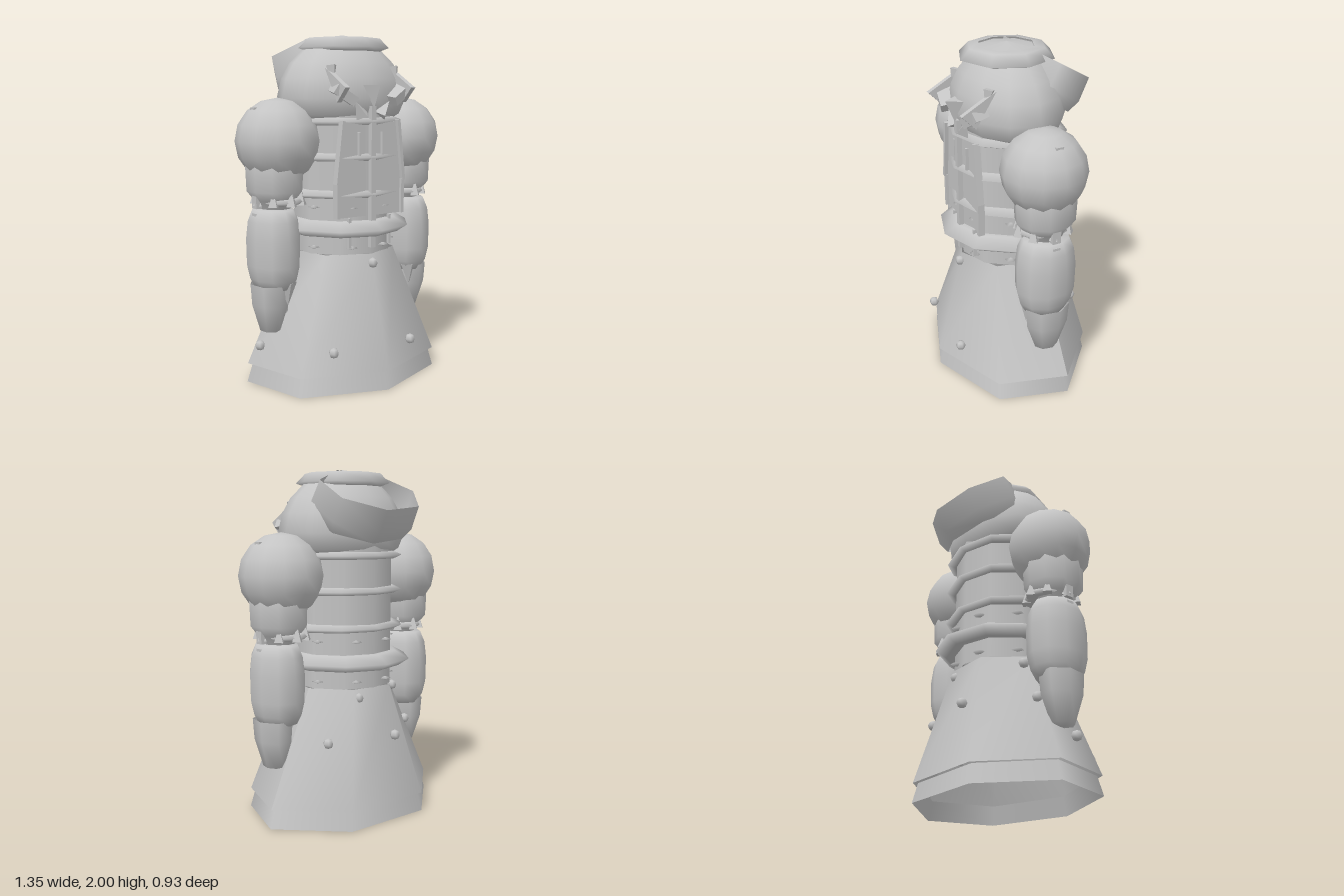
import * as THREE from 'three';

export function createModel() {
  const model = new THREE.Group();
  const grey = new THREE.MeshStandardMaterial({ color: 0xc4c4c4, side: THREE.DoubleSide });
  grey.name = 'stone grey';

  function add(name, geometry, pos = [0, 0, 0], scale = [1, 1, 1], rot = [0, 0, 0]) {
    const mesh = new THREE.Mesh(geometry, grey);
    mesh.name = name;
    mesh.position.set(...pos);
    mesh.scale.set(...scale);
    mesh.rotation.set(...rot);
    model.add(mesh);
  }
  // Profiles run from bottom to top as [radius, height]
  const lathe = (profile, sides, start = 0) =>
    new THREE.LatheGeometry(profile.map(([r, y]) => new THREE.Vector2(r, y)), sides, start);
  const tube = (top, bottom, h, sides, start = 0) =>
    new THREE.CylinderGeometry(top, bottom, h, sides, 1, true, start);
  const box = (w, h, d) => new THREE.BoxGeometry(w, h, d);
  const plate = (points, depth) => new THREE.ExtrudeGeometry(
    new THREE.Shape(points.map(([x, y]) => new THREE.Vector2(x, y))), { depth, bevelEnabled: false });
  function spike(r, h, sides) {
    const g = new THREE.ConeGeometry(r, h, sides).toNonIndexed();
    g.computeVertexNormals();
    return g;
  }

  // Seven-sided flared skirt, rounder at the waist, with a separate hem
  const seam = 4 * Math.PI / 7;
  const skirt = tube(0.31, 0.61, 0.65, 7, seam);
  const p = skirt.attributes.position;
  for (let i = 0; i < p.count; i++) p.setZ(i, p.getZ(i) * (p.getY(i) > 0 ? 0.955 : 0.765));
  skirt.computeVertexNormals();
  add('skirt', skirt, [0, 0.435, 0]);
  add('hem', tube(0.58, 0.615, 0.11, 7, seam), [0, 0.055, 0], [1, 1, 0.757]);

  // Torso with banded rings
  add('torso', tube(0.3, 0.295, 0.87, 10), [0, 1.195, 0], [1, 1, 0.96]);
  for (const y of [1.515, 1.315, 1.105]) {
    add('bandRing', lathe([[0.28, -0.02], [0.33, -0.022], [0.382, 0], [0.32, 0.022], [0.28, 0.022]], 10),
      [0, y, 0], [1, 1, 0.87]);
  }
  add('waistRing', lathe([[0.28, -0.03], [0.34, -0.042], [0.403, 0], [0.32, 0.045], [0.28, 0.045]], 10), [0, 0.91, 0]);
  for (const y of [0.8, 1.03]) {
    for (let i = 0; i < 8; i++) {
      const a = (i + 0.5) * Math.PI / 4;
      add('stud', new THREE.SphereGeometry(0.035, 6, 2),
        [0.29 * Math.sin(a), y, 0.28 * Math.cos(a)], [1, 0.3, 1]);
    }
  }

  // Domed head and brim
  add('head', lathe([[0.33, 1.53], [0.365, 1.55], [0.405, 1.64], [0.378, 1.75], [0.325, 1.84],
    [0.24, 1.92], [0.16, 1.965], [0, 1.995]], 12), [0, 0, 0], [1, 1, 0.77]);
  add('crownBrim', lathe([[0.16, 1.91], [0.22, 1.905], [0.275, 1.925], [0.22, 1.98], [0.16, 1.985]], 8));
  add('crownTop', lathe([[0.16, 1.975], [0, 2.0]], 8));

  // Tilted, slightly twisted open hood behind the head
  add('hood', lathe([[0.3, -0.215], [0.335, -0.14], [0.325, 0]], 7, Math.PI - 0.2),
    [0, 1.878, -0.258], [1, 1, 0.75], [-0.51, 0, 0]);

  // Face
  add('nose', spike(0.065, 0.13, 3), [0, 1.65, 0.315], [1, 1, 0.85], [Math.PI, Math.PI, 0]);
  for (const s of [-1, 1]) {
    add('brow', box(0.14, 0.055, 0.1), [s * 0.185, 1.665, 0.28], [1, 1, 1], [0.15, s * 0.25, s * 0.52]);
    add('browHorn', plate([[0.18, 1.81], [0.25, 1.7], [0.3, 1.62], [0.38, 1.7]], 0.03),
      [s * 0.225 + 0.015, 0, 0], [1, 1, 1], [0, -Math.PI / 2, 0]);
    add('browTip', spike(0.035, 0.12, 4), [s * 0.215, 1.76, 0.22], [1, 1, 1], [Math.PI - 0.2, 0, 0]);
    add('cheek', spike(0.05, 0.1, 3), [s * 0.09, 1.585, 0.3], [1, 1, 0.7], [0, 0, -s * 0.6]);
  }

  // Front panel and its bars
  add('apron', plate([[-0.23, 0.98], [0.23, 0.98], [0.23, 1.18], [0.19, 1.51], [-0.19, 1.51], [-0.23, 1.18]], 0.012),
    [0, 0, 0.265]);
  add('centreRod', box(0.032, 0.8, 0.03), [0, 1.2, 0.3]);
  for (const s of [-1, 1]) {
    add('apronEdge', box(0.02, 0.35, 0.04), [s * 0.21, 1.345, 0.28], [1, 1, 1], [0, 0, s * 0.114]);
    add('apronStrip', box(0.012, 0.13, 0.02), [s * 0.08, 1.39, 0.285]);
    add('apronSide', box(0.02, 0.2, 0.04), [s * 0.225, 1.08, 0.275]);
    add('hangingStrip', box(0.015, 0.17, 0.02), [s * 0.14, 0.89, 0.275]);
  }

  // Arms
  for (const s of [-1, 1]) {
    add('shoulder', new THREE.SphereGeometry(0.24, 12, 8), [s * 0.437, 1.405, 0]);
    add('upperArm', lathe([[0.1, 1.03], [0.13, 1.08], [0.172, 1.13], [0.178, 1.27], [0.15, 1.33]], 10),
      [s * 0.46, 0, 0], [0.92, 1, 1]);
    add('elbowRing', lathe([[0.1, 1.05], [0.15, 1.055], [0.168, 1.07], [0.15, 1.09], [0.1, 1.095]], 8),
      [s * 0.437, 0, 0], [0.82, 1, 1]);
    for (let i = 0; i < 8; i++) {
      const a = i * Math.PI / 4;
      add('elbowSpike', spike(0.035, 0.09, 4), [s * 0.44 + 0.125 * Math.sin(a), 1.095, 0.15 * Math.cos(a)]);
    }
    add('elbowTab', box(0.035, 0.08, 0.05), [s * 0.575, 1.075, 0]);
    add('shoulderTab', box(0.02, 0.025, 0.045), [s * 0.585, 1.58, 0]);
    add('wristTab', box(0.03, 0.025, 0.045), [s * 0.58, 0.995, 0]);
    add('forearm', lathe([[0, 0.57], [0.125, 0.575], [0.155, 0.63], [0.175, 0.71], [0.178, 0.86],
      [0.165, 0.96], [0.135, 1.025], [0, 1.035]], 10), [s * 0.474, 0, 0], [0.85, 1, 1]);
    add('hand', lathe([[0, 0.315], [0.07, 0.325], [0.125, 0.48], [0.135, 0.6]], 7), [s * 0.503, 0, 0], [0.8, 1, 1]);
    add('thumb', spike(0.06, 0.25, 5), [s * 0.435, 0.5, 0.04], [0.8, 1, 1.1], [Math.PI, 0, s * 0.25]);
    add('wristSpike', spike(0.06, 0.13, 4), [s * 0.44, 0.545, 0.1], [1, 1, 0.6], [Math.PI, 0, 0]);
  }

  // Skirt rivets
  const rivets = [[0, 0.71, 0.31], [0.31, 0.71, 0.06], [0.1, 0.71, -0.27], [-0.31, 0.71, -0.1],
    [0.32, 0.48, -0.27], [-0.1, 0.48, -0.36], [-0.42, 0.48, -0.1],
    [-0.31, 0.25, 0.37], [0.2, 0.25, 0.41], [-0.58, 0.25, 0.02]];
  for (const pos of rivets) add('rivet', new THREE.SphereGeometry(0.03, 6, 4), pos);

  return model;
}
